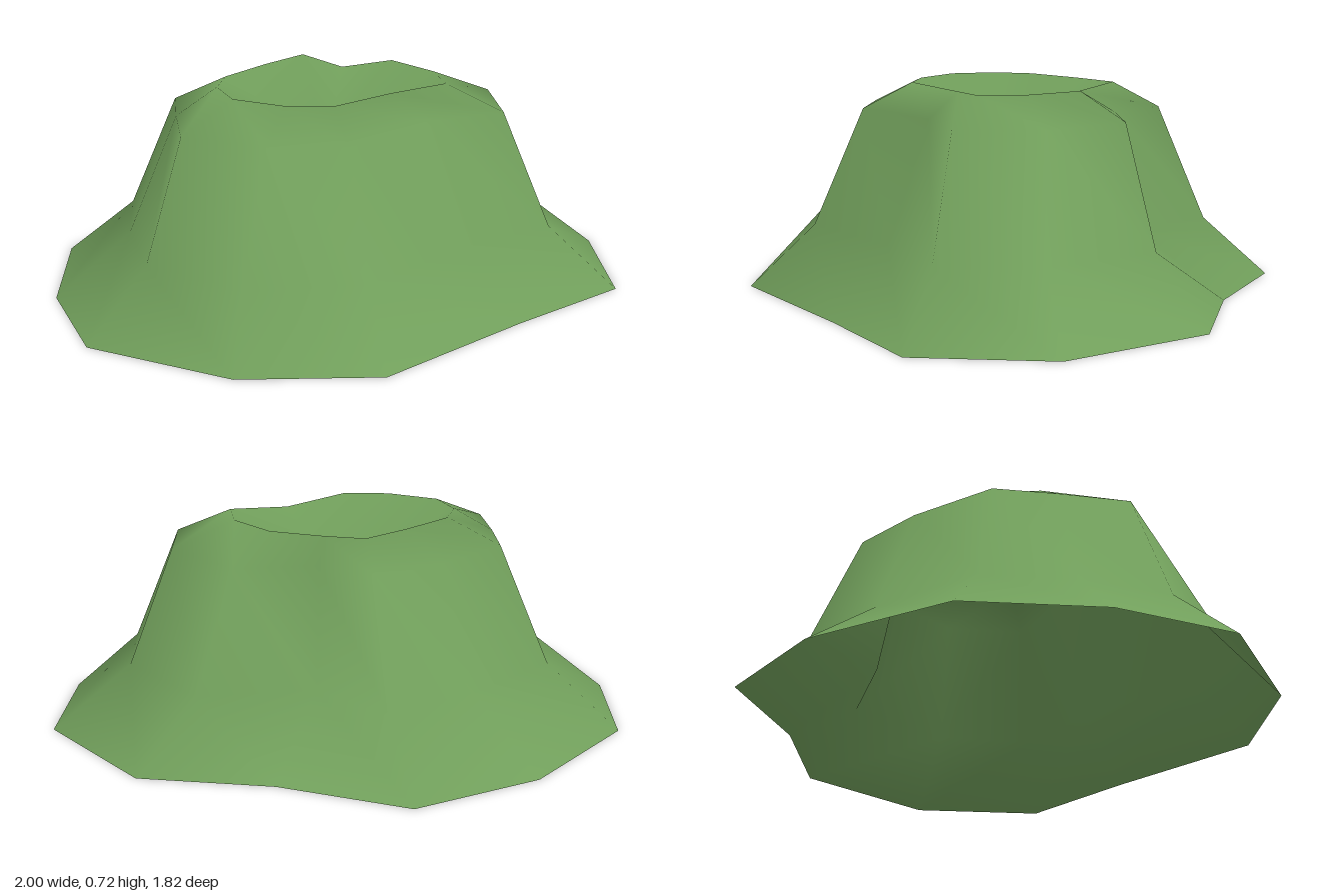
import * as THREE from 'three';

// Cross-sections from brim edge to crown edge, as [x, z] pairs in matching order
const rings = [
  { y: 0, pts: [[1, 0.01], [0.94, 0.57], [0.6, 0.91], [0.12, 0.84], [-0.5, 0.78], [-0.84, 0.44],
    [-1, -0.08], [-0.81, -0.48], [-0.47, -0.82], [0.07, -0.91], [0.53, -0.79], [0.72, -0.36]] },
  { y: 0.22, pts: [[0.75, 0], [0.7, 0.43], [0.47, 0.7], [0.11, 0.61], [-0.37, 0.59], [-0.69, 0.33],
    [-0.75, -0.06], [-0.58, -0.34], [-0.36, -0.58], [0.06, -0.61], [0.42, -0.57], [0.42, -0.23]] },
  { y: 0.63, pts: [[0.59, -0.01], [0.58, 0.33], [0.38, 0.55], [0.1, 0.43], [-0.29, 0.43], [-0.48, 0.24],
    [-0.59, -0.05], [-0.43, -0.25], [-0.28, -0.42], [0.05, -0.45], [0.33, -0.42], [0.36, -0.18]] },
  { y: 0.72, pts: [[0.4, 0.02], [0.38, 0.23], [0.28, 0.37], [0.08, 0.29], [-0.2, 0.28], [-0.31, 0.16],
    [-0.37, -0.03], [-0.3, -0.18], [-0.18, -0.26], [0.04, -0.28], [0.24, -0.28], [0.26, -0.1]] },
];

function buildShell() {
  const n = rings[0].pts.length;
  const positions = [];
  const index = [];
  for (const { y, pts } of rings) for (const [x, z] of pts) positions.push(x, y, z);

  // Soft sags in the crown edge, at the front and at the side dent
  const top = (rings.length - 1) * n;
  positions[(top + 3) * 3 + 1] = 0.71;
  positions[(top + 11) * 3 + 1] = 0.7;

  // Sunken middle of the crown
  const centre = positions.length / 3;
  positions.push(0.07, 0.47, 0);

  for (let i = 0; i < n; i++) {
    const j = (i + 1) % n;
    for (let r = 0; r < rings.length - 1; r++) {
      const a = r * n + i, b = r * n + j, c = a + n, d = b + n;
      index.push(a, c, d, a, d, b);
    }
    index.push(top + i, centre, top + j);
  }

  const geometry = new THREE.BufferGeometry();
  geometry.setAttribute('position', new THREE.Float32BufferAttribute(positions, 3));
  geometry.setIndex(index);
  geometry.computeVertexNormals();
  return geometry;
}

export function createModel() {
  const group = new THREE.Group();
  group.name = 'softHat';
  const green = new THREE.MeshStandardMaterial({ color: 0x719f5b, side: THREE.DoubleSide });
  green.name = 'leafGreen';

  // Brim, wall and dented crown form one open shell
  const shell = new THREE.Mesh(buildShell(), green);
  shell.name = 'hatShell';
  group.add(shell);
  return group;
}
